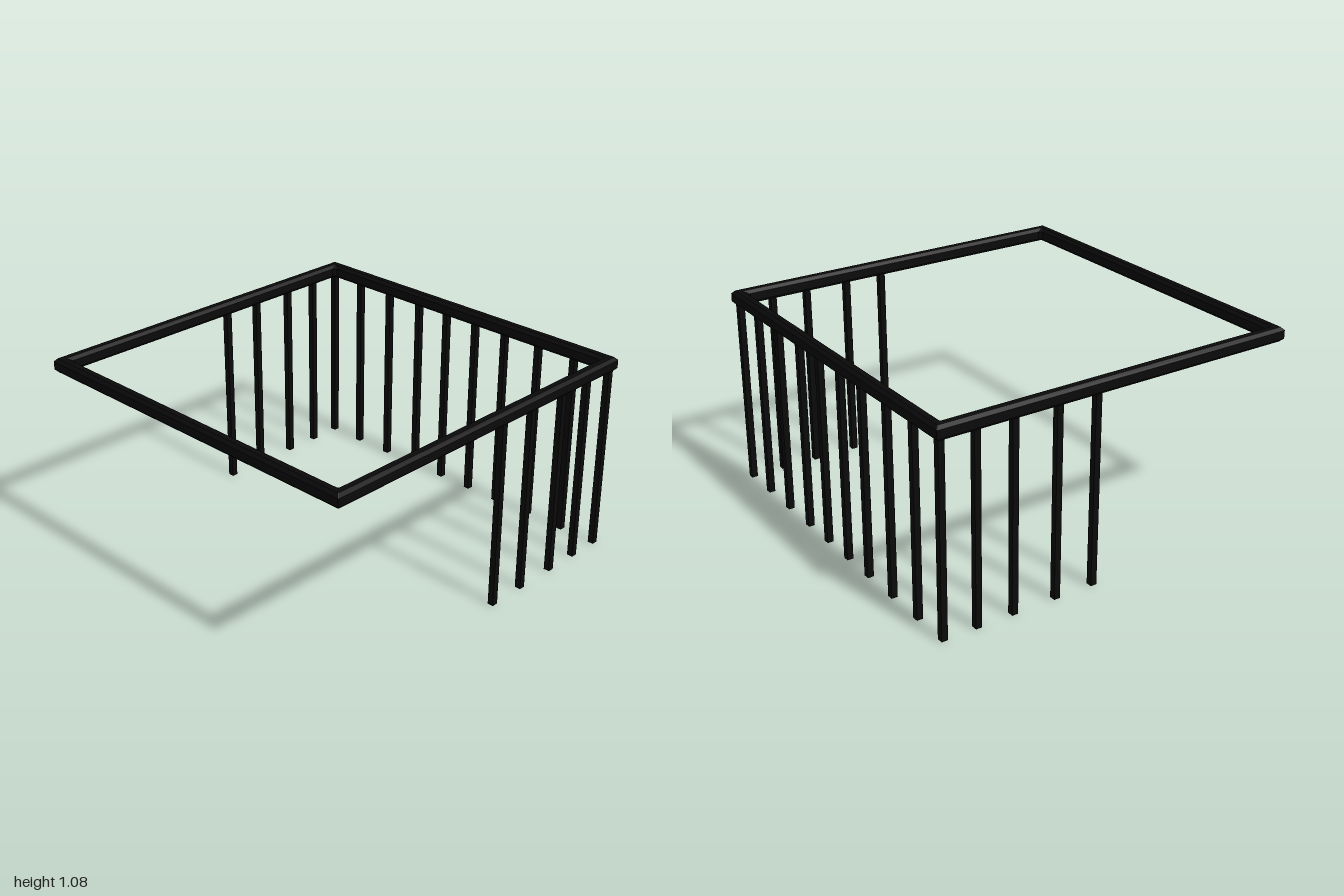
import * as THREE from 'three';

const material = new THREE.MeshStandardMaterial({ color: 0x0a0a0a, flatShading: true });

// Square rail with a bevelled section, swept round four corners
function railGeometry() {
  const outer = 1, inner = 0.938, bottom = 1, top = 1.075, bevel = 0.016;
  // [half size of ring, height, corner cut], from the outer face up and over
  const profile = [
    [outer, bottom + bevel, 0.003], [outer, top - bevel, 0.003],
    [outer - bevel, top, 0.003], [inner + bevel, top, 0.003],
    [inner, top - bevel, 0.018], [inner, bottom + bevel, 0.018],
    [inner + bevel, bottom, 0.003], [outer - bevel, bottom, 0.003],
  ];
  const n = profile.length, positions = [], index = [];
  for (let corner = 0; corner < 4; corner++) {
    for (const side of [0, 1]) {
      for (const [h, y, cut] of profile) {
        let x = side ? h - cut : h, z = side ? h : h - cut;
        for (let turn = 0; turn < corner; turn++) [x, z] = [-z, x];
        positions.push(x, y, z);
      }
    }
  }
  for (let k = 0; k < 8; k++) {
    for (let j = 0; j < n; j++) {
      const a = k * n + j, b = k * n + (j + 1) % n;
      const c = ((k + 1) % 8) * n + (j + 1) % n, d = ((k + 1) % 8) * n + j;
      index.push(a, b, c, a, c, d);
    }
  }
  const geometry = new THREE.BufferGeometry();
  geometry.setAttribute('position', new THREE.Float32BufferAttribute(positions, 3));
  geometry.setIndex(index);
  geometry.computeVertexNormals();
  return geometry;
}

export function createModel() {
  const model = new THREE.Group();
  model.name = 'railing';

  const rail = new THREE.Mesh(railGeometry(), material);
  rail.name = 'topRail';
  model.add(rail);

  // Square balusters
  const edge = 0.967, height = 1.005;
  const baluster = new THREE.BoxGeometry(0.033, height, 0.033).translate(0, height / 2, 0);
  const addBaluster = (name, x, z) => {
    const post = new THREE.Mesh(baluster, material);
    post.name = name;
    post.position.set(x, 0, z);
    model.add(post);
  };

  // Left side, corners included
  for (const z of [0.102, 0.304, 0.528, 0.755, edge]) {
    addBaluster('leftBaluster', edge, z);
    addBaluster('leftBaluster', edge, -z);
  }

  // Half of the front and back
  for (const x of [0.127, 0.343, 0.583, 0.783]) {
    addBaluster('frontBaluster', x, edge);
    addBaluster('backBaluster', x, -edge);
  }
  return model;
}
